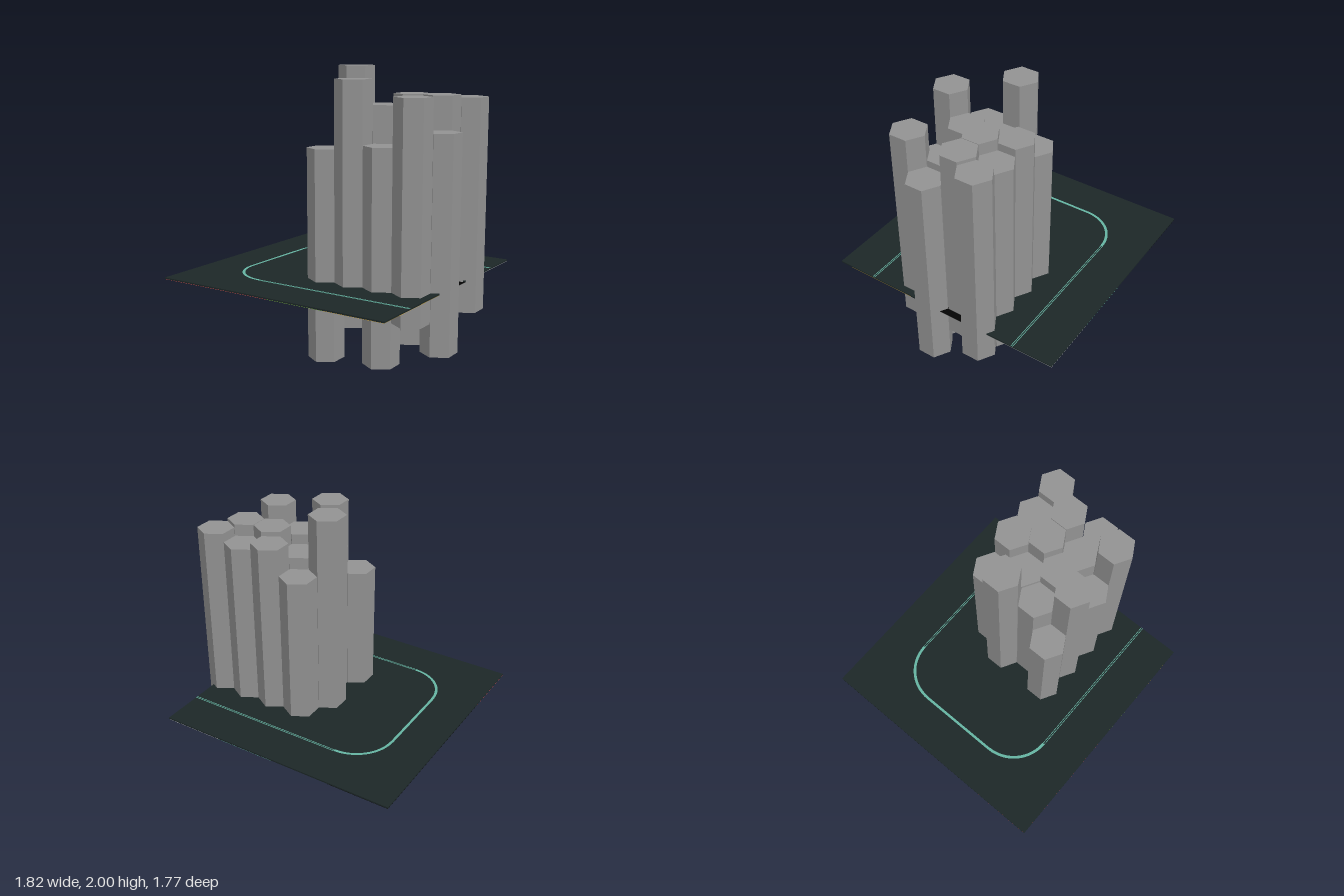
import * as THREE from 'three';
import { mergeGeometries } from 'three/addons/utils/BufferGeometryUtils.js';

const mat = (name, color) => {
  const m = new THREE.MeshStandardMaterial({ color });
  m.name = name;
  return m;
};

export function createModel() {
  const grey = mat('stone grey', 0x929292);
  grey.side = THREE.DoubleSide;
  const slate = mat('dark slate', 0x1c2727);
  const mint = mat('mint', 0x64b3a1);
  const silver = mat('silver', 0xd0d0d0);
  const black = mat('black', 0x030303);
  const ochre = mat('ochre', 0xcba23a);
  const green = mat('leaf green', 0x74ab41);
  const red = mat('coral red', 0xd04c4c);

  const model = new THREE.Group();
  model.name = 'hexColumnBoard';
  const add = (name, geometry, material, x, y, z, parent = model) => {
    const mesh = new THREE.Mesh(geometry, material);
    mesh.name = name;
    mesh.position.set(x, y, z);
    parent.add(mesh);
  };
  // Thin slab spanning a rectangle in x and z
  const slab = (name, material, x0, x1, z0, z1, y0, y1) =>
    add(name, new THREE.BoxGeometry(x1 - x0, y1 - y0, z1 - z0), material,
      (x0 + x1) / 2, (y0 + y1) / 2, (z0 + z1) / 2);

  // Equal hexagonal columns, capped on top and open below
  const length = 1.467;
  const cap = new THREE.CircleGeometry(0.126, 6, Math.PI / 2);
  cap.rotateX(-Math.PI / 2).translate(0, length / 2, 0);
  const walls = new THREE.CylinderGeometry(0.126, 0.126, length, 6, 1, true);
  const hex = mergeGeometries([walls, cap]).toNonIndexed();
  hex.computeVertexNormals();

  // Staggered rows, each column shifted up or down
  const rows = [
    { z: -0.287, x: 0.135, bottoms: [0.14, 0.325, 0.275, 0.335] },
    { z: -0.096, x: 0.025, bottoms: [0.533, 0.22, 0.355, 0.355] },
    { z: 0.096, x: 0.135, bottoms: [0.21, 0.29, 0.175, 0.13] },
    { z: 0.287, x: 0.025, bottoms: [0, 0.46, 0.04, 0.36] },
  ];
  const columns = new THREE.Group();
  columns.name = 'columns';
  model.add(columns);
  for (const row of rows) {
    row.bottoms.forEach((bottom, i) =>
      add('hexColumn', hex, grey, row.x + i * 0.2217, bottom + length / 2, row.z, columns));
  }

  // Board with a notch in its right edge (shape y becomes -z)
  const top = 0.565, base = 0.555;
  const outline = new THREE.Shape([
    [-0.91, -0.883], [0.85, -0.883], [0.85, 0], [0.7, 0],
    [0.7, 0.18], [0.85, 0.18], [0.85, 0.883], [-0.91, 0.883],
  ].map(([x, y]) => new THREE.Vector2(x, y)));
  const board = new THREE.ExtrudeGeometry(outline, { depth: top - base, bevelEnabled: false });
  board.rotateX(-Math.PI / 2);
  add('board', board, slate, 0, base, 0);

  // Coloured fields on the underside; the black one shows through the notch
  const xs = [0.85, 0.41, -0.03, -0.47, -0.91];
  const under = (name, m, a, b, z0, z1) =>
    slab(name, m, xs[b], xs[a], z0, z1, base - 0.002, base - 0.0005);
  under('silverField', silver, 0, 1, -0.883, -0.442);
  under('blackField', black, 0, 1, -0.442, 0);
  under('ochreField', ochre, 0, 1, 0, 0.883);
  under('mintField', mint, 1, 2, -0.883, 0);
  under('greenField', green, 1, 2, 0, 0.883);
  under('blackCornerField', black, 3, 4, -0.883, 0.43);
  under('redField', red, 2, 4, 0.43, 0.883);

  // Line on the top: rounded corners, solid end and fine double side strokes
  const y = top + 0.002;
  for (const s of [-1, 1]) {
    const arc = new THREE.RingGeometry(0.272, 0.292, 24, 1, s < 0 ? Math.PI / 2 : Math.PI, Math.PI / 2);
    arc.rotateX(-Math.PI / 2);
    add('lineCorner', arc, mint, -0.328, y, s * 0.298);
    for (const r of [0.576, 0.588]) {
      slab('sideStroke', mint, -0.328, 0.85, s * r - 0.002, s * r + 0.002, top, y);
    }
  }
  slab('endStroke', mint, -0.62, -0.602, -0.298, 0.298, top, y);
  return model;
}
